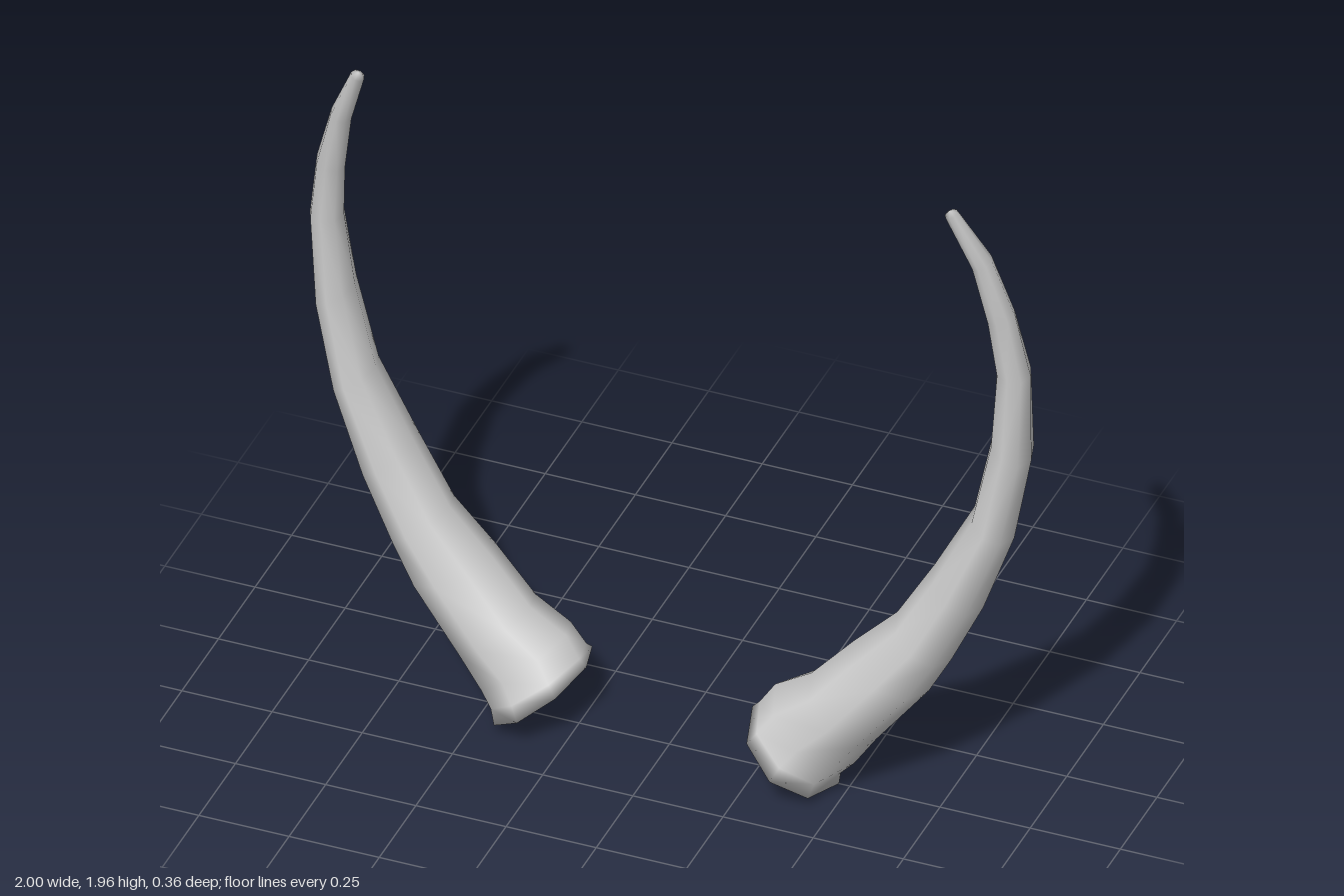
import * as THREE from 'three';

const SIDES = 8;

// Cross-sections from base to tip: inner edge x, y, outer edge x, y, front z, back z
const SECTIONS = [
  [0.23, 0.19, 0.47, 0.01, 0.18, -0.18],
  [0.25, 0.21, 0.475, 0.045, 0.165, -0.165],
  [0.29, 0.27, 0.51, 0.08, 0.14, -0.155],
  [0.39, 0.33, 0.57, 0.17, 0.125, -0.145],
  [0.50, 0.45, 0.71, 0.35, 0.105, -0.15],
  [0.62, 0.57, 0.77, 0.46, 0.08, -0.14],
  [0.72, 0.74, 0.855, 0.64, 0.065, -0.14],
  [0.83, 0.95, 0.94, 0.88, 0.045, -0.125],
  [0.885, 1.20, 0.99, 1.14, 0.04, -0.105],
  [0.905, 1.43, 0.999, 1.42, 0.04, -0.055],
  [0.89, 1.60, 0.968, 1.62, 0.06, -0.015],
  [0.86, 1.78, 0.915, 1.80, 0.085, 0.02],
  [0.805, 1.95, 0.84, 1.965, 0.12, 0.085],
];

function hornGeometry(side) {
  const centres = SECTIONS.map(([ix, iy, ox, oy, f, b]) =>
    new THREE.Vector3((ix + ox) / 2, (iy + oy) / 2, (f + b) / 2));
  const last = SECTIONS.length - 1;
  const points = [];
  const index = [];
  const put = (p) => points.push(side * p.x, p.y, p.z);
  const face = (a, b, c) => index.push(...(side > 0 ? [a, b, c] : [a, c, b]));

  // Rings lean with the direction of the horn
  SECTIONS.forEach(([ix, iy, ox, oy, f, b], i) => {
    const across = new THREE.Vector3((ox - ix) / 2, (oy - iy) / 2, 0);
    const along = centres[Math.min(i + 1, last)].clone().sub(centres[Math.max(i - 1, 0)]);
    const depth = i === 0
      ? new THREE.Vector3(0, 0, 1)
      : across.clone().cross(along).normalize();
    if (depth.z < 0) depth.negate();
    depth.multiplyScalar((f - b) / 2);
    for (let j = 0; j < SIDES; j++) {
      const t = (j / SIDES) * Math.PI * 2;
      put(centres[i].clone().addScaledVector(across, Math.cos(t)).addScaledVector(depth, Math.sin(t)));
    }
  });

  // Skin between rings
  for (let i = 0; i < last; i++) {
    for (let j = 0; j < SIDES; j++) {
      const a = i * SIDES + j;
      const b = i * SIDES + ((j + 1) % SIDES);
      face(a, a + SIDES, b);
      face(b, a + SIDES, b + SIDES);
    }
  }

  // Closed base and slightly domed tip
  const base = points.length / 3;
  put(centres[0]);
  const tip = base + 1;
  put(centres[last].clone().add(new THREE.Vector3(-0.003, 0.012, 0.003)));
  for (let j = 0; j < SIDES; j++) {
    const k = (j + 1) % SIDES;
    face(base, j, k);
    face(tip, last * SIDES + k, last * SIDES + j);
  }

  const geometry = new THREE.BufferGeometry();
  geometry.setAttribute('position', new THREE.Float32BufferAttribute(points, 3));
  geometry.setIndex(index);
  geometry.computeVertexNormals();
  return geometry;
}

export function createModel() {
  const group = new THREE.Group();
  group.name = 'hornPair';
  const horn = new THREE.MeshStandardMaterial({ color: 0xcccccc });
  horn.name = 'pale grey horn';
  for (const [name, side] of [['leftHorn', 1], ['rightHorn', -1]]) {
    const mesh = new THREE.Mesh(hornGeometry(side), horn);
    mesh.name = name;
    group.add(mesh);
  }
  return group;
}
